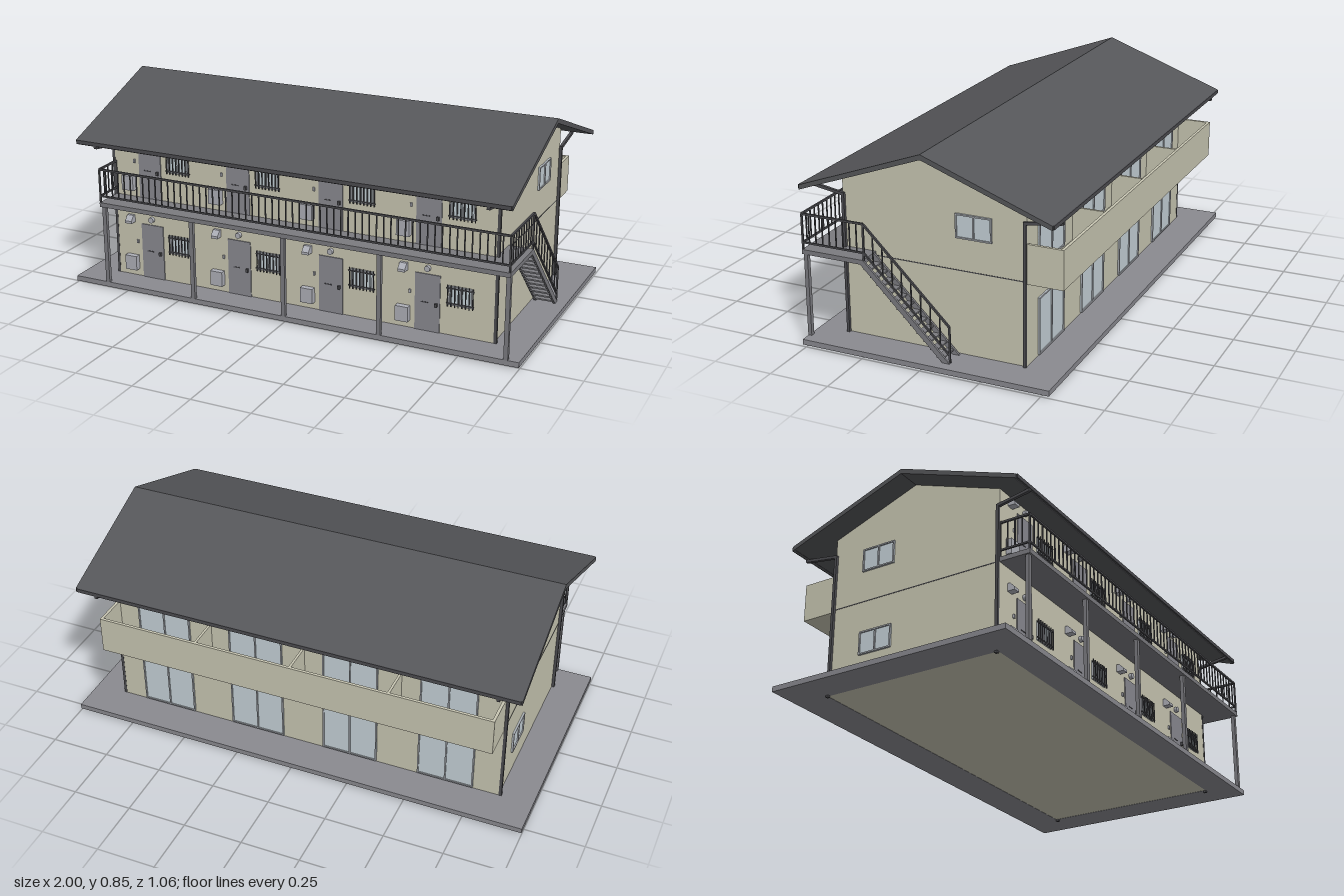
import * as THREE from 'three';

const mat = (color) => new THREE.MeshStandardMaterial({ color, side: THREE.DoubleSide });

export function createModel() {
  const M = {
    wall: mat(0xc9c7b3), roof: mat(0x56575a), slab: mat(0x8a8a90), steel: mat(0x7b7b80),
    dark: mat(0x4c4c50), door: mat(0x8a8a91), glass: mat(0xc6d2d8), frame: mat(0xa9adb3), box: mat(0xaeb0b8),
  };
  const root = new THREE.Group();
  const group = (name, parent = root) => {
    const g = new THREE.Group();
    g.name = name;
    parent.add(g);
    return g;
  };
  const add = (parent, name, geo, m) => {
    const mesh = new THREE.Mesh(geo, m);
    mesh.name = name;
    parent.add(mesh);
    return mesh;
  };
  // box given by its minimum and maximum corners
  const box = (p, name, m, x0, x1, y0, y1, z0, z1) => {
    const b = add(p, name, new THREE.BoxGeometry(x1 - x0, y1 - y0, z1 - z0), m);
    b.position.set((x0 + x1) / 2, (y0 + y1) / 2, (z0 + z1) / 2);
    return b;
  };
  // square bar between two points
  const bar = (p, name, m, a, b, w) => {
    const A = new THREE.Vector3(...a), B = new THREE.Vector3(...b);
    const s = add(p, name, new THREE.BoxGeometry(w, w, A.distanceTo(B)), m);
    s.position.copy(A).lerp(B, 0.5);
    s.lookAt(B);
    return s;
  };
  // [z, y] outline extruded along x
  const profile = (p, name, m, pts, x0, x1) => {
    const shape = new THREE.Shape(pts.map(([z, y]) => new THREE.Vector2(-z, y)));
    const g = new THREE.ExtrudeGeometry(shape, { depth: x1 - x0, bevelEnabled: false });
    g.rotateY(Math.PI / 2);
    g.translate(x0, 0, 0);
    return add(p, name, g, m);
  };

  const W = 0.855, ZF = 0.393, ZB = -0.38, PITCH = 0.42, FLOOR = 0.362;

  // paved base around the building
  const rect = (T, x0, x1, z0, z1) => new T([[x0, z0], [x1, z0], [x1, z1], [x0, z1]].map((q) => new THREE.Vector2(...q)));
  const pad = rect(THREE.Shape, -1, 1, -0.515, 0.533);
  pad.holes.push(rect(THREE.Path, -W, W, -ZF, -ZB));
  const padGeo = new THREE.ExtrudeGeometry(pad, { depth: 0.022, bevelEnabled: false });
  padGeo.rotateX(-Math.PI / 2);
  padGeo.translate(0, 0.008, 0);
  add(root, 'base', padGeo, M.slab);

  // walls with gable ends, floor line on the gables
  profile(root, 'walls', M.wall, [[ZF, 0.009], [ZF, 0.685], [0, 0.83], [ZB, 0.69], [ZB, 0.009]], -W, W);
  for (const s of [-1, 1]) box(root, 'floorLine', M.dark, s * W - 0.001, s * W + 0.001, 0.372, 0.376, ZB, ZF);

  // roof and gutters
  profile(root, 'roof', M.roof,
    [[0.525, 0.654], [0, 0.847], [-0.525, 0.654], [-0.525, 0.635], [0, 0.826], [0.525, 0.635]], -0.955, 0.955);
  const drains = group('drainage');
  for (const s of [-1, 1]) {
    box(drains, 'gutter', M.dark, -0.95, 0.95, 0.638, 0.654, Math.min(s * 0.514, s * 0.53), Math.max(s * 0.514, s * 0.53));
    const zw = s > 0 ? 0.388 : -0.375;
    for (const x of [-0.861, 0.861]) {
      bar(drains, 'downpipeTop', M.dark, [x, 0.645, s * 0.522], [x, 0.626, s * 0.522], 0.012);
      bar(drains, 'downpipeArm', M.dark, [x, 0.631, s * 0.524], [x, 0.608, zw], 0.012);
      bar(drains, 'downpipe', M.dark, [x, 0.613, zw], [x, 0, zw], 0.012);
    }
  }

  // two-pane sliding window in the xy plane, facing +z
  const slidingWindow = (p, name, w, h) => {
    const g = group(name, p), t = 0.006;
    box(g, 'glass', M.glass, -w / 2, w / 2, 0, h, 0, 0.003);
    for (const x of [-w / 2, -t / 2, w / 2 - t]) box(g, 'stile', M.frame, x, x + t, 0, h, 0, 0.008);
    for (const y of [0, h - t]) box(g, 'rail', M.frame, -w / 2, w / 2, y, y + t, 0, 0.008);
    return g;
  };

  // apartments: entrance side and garden side
  for (let f = 0; f < 2; f++) for (let i = 0; i < 4; i++) {
    const g = group('apartment');
    g.position.set(-0.84 + PITCH * i, FLOOR * f, 0);
    box(g, 'door', M.door, 0.104, 0.21, 0.03, 0.272, ZF - 0.01, ZF + 0.004);
    box(g, 'doorHandle', M.dark, 0.19, 0.2, 0.14, 0.155, ZF, ZF + 0.014);
    box(g, 'mailSlot', M.dark, 0.13, 0.16, 0.15, 0.154, ZF, ZF + 0.006);
    box(g, 'intercom', M.box, 0.078, 0.086, 0.18, 0.195, ZF, ZF + 0.007);
    box(g, 'meterBox', M.box, 0.028, 0.083, 0.06, 0.124, ZF, 0.418);
    const hood = profile(g, 'ventHood', M.box,
      [[ZF, 0.274], [ZF, 0.306], [0.405, 0.306], [0.425, 0.285], [0.425, 0.274]], 0.04, 0.071);
    hood.position.x = 0;
    const lamp = add(g, 'doorLamp', new THREE.CylinderGeometry(0.012, 0.012, 0.014, 16), M.box);
    lamp.rotation.x = Math.PI / 2;
    lamp.position.set(0.157, 0.297, ZF + 0.007);

    const win = slidingWindow(g, 'kitchenWindow', 0.1, 0.08);
    win.position.set(0.296, 0.16, ZF);
    for (let k = 0; k < 8; k++) {
      const x = 0.244 + k * 0.015;
      box(g, 'windowBar', M.dark, x - 0.002, x + 0.002, 0.155, 0.245, ZF + 0.009, ZF + 0.013);
    }
    for (const y of [0.168, 0.232]) box(g, 'windowBarRail', M.dark, 0.238, 0.354, y - 0.002, y + 0.002, ZF + 0.007, ZF + 0.012);

    const back = slidingWindow(g, 'gardenDoor', 0.24, 0.236);
    back.position.set(0.215, 0.036, ZB);
    back.rotation.y = Math.PI;
  }

  // gable windows: one on the stair side, two on the other
  for (const [s, y] of [[1, 0.505], [-1, 0.505], [-1, 0.145]]) {
    const w = slidingWindow(root, 'gableWindow', 0.15, 0.098);
    w.position.set(s * W, y, -0.165);
    w.rotation.y = s * Math.PI / 2;
  }

  // rear balcony with dividers
  const balcony = group('balcony');
  box(balcony, 'balconyFloor', M.wall, -W, W, 0.366, 0.386, -0.527, ZB);
  box(balcony, 'balconyParapet', M.wall, -W, W, 0.366, 0.525, -0.527, -0.515);
  for (const x of [-W + 0.006, W - 0.006]) box(balcony, 'balconyEnd', M.wall, x - 0.006, x + 0.006, 0.366, 0.525, -0.527, ZB);
  for (const i of [-1, 0, 1]) box(balcony, 'divider', M.wall, i * PITCH - 0.005, i * PITCH + 0.005, 0.38, 0.523, -0.52, ZB);

  // front walkway, landing and supports
  const walk = group('walkway');
  box(walk, 'walkwayFloor', M.steel, -W, 0.957, 0.372, 0.391, ZF, 0.525);
  box(walk, 'landing', M.steel, W, 0.957, 0.372, 0.391, 0.255, ZF);
  for (const x of [-0.84, -PITCH, 0, PITCH, 0.947]) box(walk, 'post', M.steel, x - 0.009, x + 0.009, 0.03, 0.372, 0.501, 0.517);

  // railing: two rails and evenly spaced balusters between floor points
  const railing = (a, b, step) => {
    const g = group('railing');
    const at = (t, h) => [0, 1, 2].map((k) => a[k] + (b[k] - a[k]) * t + (k === 1 ? h : 0));
    bar(g, 'topRail', M.dark, at(0, 0.147), at(1, 0.147), 0.008);
    bar(g, 'bottomRail', M.dark, at(0, 0.03), at(1, 0.03), 0.007);
    const n = Math.round(Math.hypot(b[0] - a[0], b[2] - a[2]) / step);
    for (let k = 0; k <= n; k++) {
      const end = k === 0 || k === n;
      bar(g, 'baluster', M.dark, at(k / n, end ? 0 : 0.03), at(k / n, 0.147), end ? 0.007 : 0.0045);
    }
  };
  const Y = 0.39, ZR = 0.521, XR = 0.952;
  railing([-0.851, Y, ZR], [XR, Y, ZR], 0.03);
  railing([-0.851, Y, ZF], [-0.851, Y, ZR], 0.03);
  railing([XR, Y, ZR], [XR, Y, 0.252], 0.03);
  railing([XR, Y, 0.252], [XR, 0.034, -0.106], 0.04);

  // stairs
  const stairs = group('stairs');
  for (const x of [0.866, 0.948]) profile(stairs, 'stringer', M.steel,
    [[0.255, 0.391], [-0.106, 0.03], [-0.075, 0.03], [0.267, 0.372]], x, x + 0.009);
  for (let k = 1; k < 13; k++) {
    const t = k / 13, z = 0.255 - 0.361 * t, y = 0.385 - 0.361 * t;
    box(stairs, 'tread', M.steel, 0.868, 0.955, y - 0.006, y, z - 0.003, z + 0.027);
  }
  return root;
}
